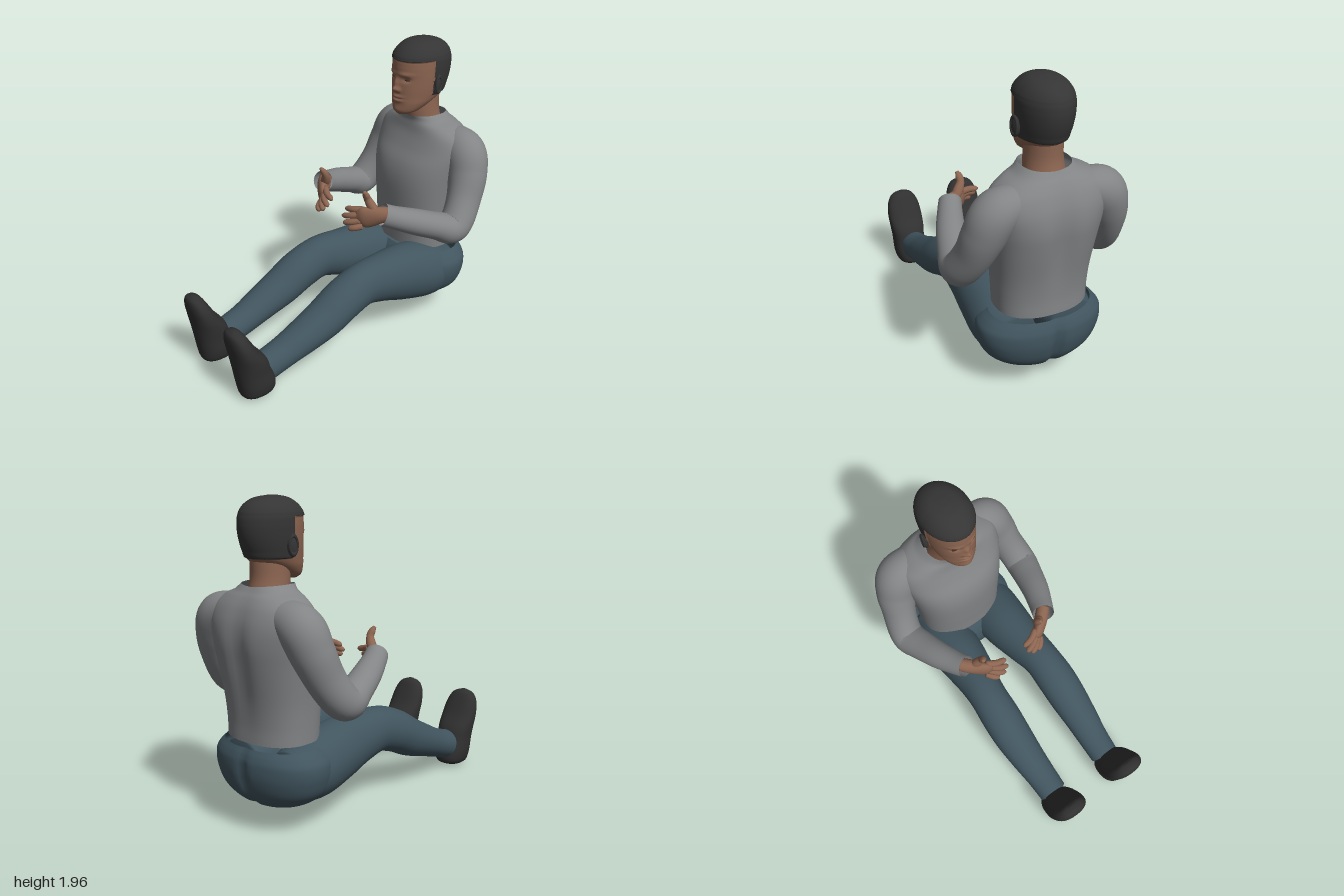
import * as THREE from 'three';

const paint = (name, color) => {
  const m = new THREE.MeshStandardMaterial({ color, side: THREE.DoubleSide });
  m.name = name;
  return m;
};
const bump = (v, centre, width) => Math.exp(-(((v - centre) / width) ** 2));

// Smooth skin through sections [x, y, z, sideRadius, otherRadius].
// axis fixes the direction of all rings, otherwise they follow the path.
function loft(sections, { axis, ref = [1, 0, 0], segs = 32, rows = 48, power = 1, capStart = true, capEnd = true, warp, pick } = {}) {
  const path = new THREE.CatmullRomCurve3(sections.map(s => new THREE.Vector3(s[0], s[1], s[2])), false, 'catmullrom');
  const radii = new THREE.CatmullRomCurve3(sections.map(s => new THREE.Vector3(s[3], s[4], 0)), false, 'catmullrom');
  const r = new THREE.Vector3(...ref), pos = [], groups = [[], []];
  const soft = v => Math.sign(v) * Math.abs(v) ** power;
  const put = p => { if (warp) warp(p); pos.push(p.x, p.y, p.z); };
  for (let i = 0; i <= rows; i++) {
    const t = i / rows, c = path.getPoint(t), k = radii.getPoint(t);
    const T = axis ? new THREE.Vector3(...axis) : path.getTangent(t);
    const S = r.clone().addScaledVector(T, -r.dot(T)).normalize();
    const U = T.clone().cross(S);
    for (let j = 0; j < segs; j++) {
      const a = (j / segs) * Math.PI * 2;
      put(c.clone().addScaledVector(S, soft(Math.cos(a)) * k.x).addScaledVector(U, soft(Math.sin(a)) * k.y));
    }
  }
  const at = (i, j) => i * segs + (j % segs);
  for (let i = 0; i < rows; i++) for (let j = 0; j < segs; j++) {
    const a = at(i, j), b = at(i, j + 1), c = at(i + 1, j), d = at(i + 1, j + 1);
    const mid = n => (pos[a * 3 + n] + pos[b * 3 + n] + pos[c * 3 + n] + pos[d * 3 + n]) / 4;
    groups[pick ? pick(mid(0), mid(1), mid(2)) : 0].push(a, b, d, a, d, c);
  }
  [[0, capStart], [rows, capEnd]].forEach(([row, on]) => {
    if (!on) return;
    const centre = pos.length / 3, p = path.getPoint(row / rows);
    put(p);
    const g = groups[pick ? pick(p.x, p.y, p.z) : 0];
    for (let j = 0; j < segs; j++) row ? g.push(at(row, j), at(row, j + 1), centre) : g.push(at(0, j + 1), at(0, j), centre);
  });
  const geo = new THREE.BufferGeometry();
  geo.setAttribute('position', new THREE.Float32BufferAttribute(pos, 3));
  geo.setIndex([...groups[0], ...groups[1]]);
  if (pick) {
    geo.addGroup(0, groups[0].length, 0);
    geo.addGroup(groups[0].length, groups[1].length, 1);
  }
  geo.computeVertexNormals();
  return geo;
}

// Upright skin from levels [y, halfWidth, frontZ, backZ]
const upright = (levels, options, x = 0) =>
  loft(levels.map(([y, w, f, b]) => [x, y, (f + b) / 2, w, (f - b) / 2]), { axis: [0, 1, 0], ...options });

export function createModel() {
  const model = new THREE.Group();
  model.name = 'seatedFigure';
  const shirt = paint('grey sweater', 0x828486);
  const denim = paint('blue trousers', 0x41555f);
  const skin = paint('skin', 0x8c6551);
  const shoeDark = paint('dark shoe', 0x303030);
  const hairDark = paint('dark hair', 0x353535);
  const eyeDark = paint('eye', 0x3a2a24);
  const add = (name, geo, mat, parent = model) => {
    const m = new THREE.Mesh(geo, mat);
    m.name = name;
    parent.add(m);
    return m;
  };

  // Sweater body, open at hem and collar, with a groove along the spine
  add('sweaterBody', upright([
    [0.55, 0.29, -0.495, -0.935], [0.66, 0.295, -0.49, -0.935], [0.8, 0.305, -0.482, -0.95],
    [1.0, 0.33, -0.478, -0.985], [1.13, 0.35, -0.5, -1.0], [1.24, 0.365, -0.55, -0.99],
    [1.33, 0.345, -0.585, -0.96], [1.39, 0.27, -0.597, -0.925], [1.425, 0.19, -0.6, -0.895], [1.45, 0.15, -0.592, -0.875],
  ], {
    segs: 64, power: 0.85, capStart: false, capEnd: false,
    warp: p => {
      if (p.z < -0.75) p.z += 0.03 * bump(p.x, 0, 0.07) * bump(p.y, 1.05, 0.28);
      if (p.y > 1.42) p.y += 0.08 * Math.abs(p.x) * (p.y - 1.42) / 0.03;
    },
  }), shirt);

  // Seat of the trousers with a centre crease
  add('trouserSeat', upright([
    [0.14, 0.1, -0.63, -0.8], [0.165, 0.24, -0.54, -0.88], [0.24, 0.35, -0.47, -0.945],
    [0.34, 0.395, -0.45, -0.977], [0.43, 0.4, -0.46, -0.98], [0.48, 0.37, -0.48, -0.967], [0.52, 0.325, -0.51, -0.945],
  ], {
    segs: 96, power: 0.92, capEnd: false,
    warp: p => { if (p.z < -0.75) p.z += 0.035 * bump(p.x, 0, 0.03) * bump(p.y, 0.3, 0.18); },
  }), denim);

  add('neck', upright([
    [1.36, 0.13, -0.62, -0.87], [1.43, 0.118, -0.605, -0.85], [1.5, 0.112, -0.595, -0.838], [1.6, 0.11, -0.59, -0.84],
  ]), skin);

  // Head with modelled face; hair covers the crown and back
  const isHair = (x, y, z) => (y > 1.84 || (z < -0.675 && y > 1.605) ? 1 : 0);
  add('headAndHair', upright([
    [1.475, 0.04, -0.515, -0.6], [1.5, 0.085, -0.497, -0.67], [1.55, 0.12, -0.492, -0.77],
    [1.6, 0.138, -0.492, -0.855], [1.65, 0.147, -0.491, -0.88], [1.7, 0.153, -0.492, -0.897],
    [1.75, 0.157, -0.492, -0.907], [1.8, 0.159, -0.492, -0.909], [1.85, 0.155, -0.5, -0.9],
    [1.9, 0.128, -0.54, -0.865], [1.935, 0.085, -0.6, -0.8], [1.95, 0.02, -0.67, -0.71],
  ], {
    segs: 128, rows: 110, pick: isHair,
    warp: p => {
      const { x, y, z } = p, ax = Math.abs(x);
      if (isHair(x, y, z)) {
        p.x *= 1.03;
        p.z += z > -0.7 ? 0.008 : -0.007;
        p.y += y > 1.85 ? 0.005 : 0;
      } else if (z > -0.62) {
        p.z += bump(x, 0, 0.02) * (0.028 * bump(y, 1.652, 0.018) + 0.018 * bump(y, 1.69, 0.03))
          + 0.01 * bump(ax, 0.024, 0.012) * bump(y, 1.645, 0.014)
          + bump(x, 0, 0.04) * (0.013 * bump(y, 1.601, 0.011) + 0.013 * bump(y, 1.575, 0.011) - 0.006 * bump(y, 1.588, 0.005))
          + 0.008 * bump(x, 0, 0.04) * bump(y, 1.51, 0.025)
          + 0.008 * bump(ax, 0.06, 0.045) * bump(y, 1.752, 0.014)
          - 0.014 * bump(ax, 0.062, 0.026) * bump(y, 1.718, 0.016);
      }
    },
  }), [skin, hairDark]);

  for (const s of [1, -1]) {
    const side = new THREE.Group();
    side.name = s > 0 ? 'leftSide' : 'rightSide';
    model.add(side);
    const flip = list => list.map(([x, ...rest]) => [x * s, ...rest]);
    const limb = (name, list, mat, options) => add(name, loft(flip(list), options), mat, side);

    // Ear: bowl with a raised rim
    const ear = add('ear', new THREE.SphereGeometry(1, 20, 14), hairDark, side);
    ear.scale.set(0.018, 0.062, 0.034);
    ear.position.set(s * 0.162, 1.675, -0.695);
    ear.rotation.set(-0.15, s * 0.25, 0);
    const rim = add('earRim', new THREE.TorusGeometry(0.036, 0.009, 8, 24), hairDark, side);
    rim.scale.set(0.75, 1.45, 1);
    rim.position.set(s * 0.173, 1.682, -0.697);
    rim.rotation.y = s * (Math.PI / 2 + 0.2);

    // Narrow eye
    const eye = add('eye', new THREE.SphereGeometry(1, 16, 10), eyeDark, side);
    eye.scale.set(0.021, 0.0055, 0.009);
    eye.position.set(s * 0.064, 1.716, -0.522);
    eye.rotation.y = s * 0.35;

    // Sleeve from shoulder through bent elbow to open cuff
    limb('sleeve', [
      [0.18, 1.3, -0.81, 0.1, 0.11], [0.33, 1.24, -0.81, 0.14, 0.135], [0.395, 1.11, -0.785, 0.13, 0.13],
      [0.435, 0.96, -0.725, 0.11, 0.12], [0.465, 0.84, -0.645, 0.108, 0.112], [0.467, 0.805, -0.575, 0.108, 0.105],
      [0.44, 0.845, -0.47, 0.1, 0.09], [0.398, 0.9, -0.33, 0.09, 0.085], [0.345, 0.95, -0.2, 0.078, 0.075],
      [0.312, 0.98, -0.13, 0.072, 0.072],
    ], shirt, { rows: 80, segs: 40, capEnd: false });

    // Hand: palm, thumb and four fingers
    limb('palm', [
      [0.34, 0.985, -0.17, 0.045, 0.042], [0.295, 0.972, -0.125, 0.055, 0.044], [0.25, 0.955, -0.085, 0.068, 0.04],
      [0.215, 0.943, -0.055, 0.07, 0.033], [0.185, 0.932, -0.035, 0.05, 0.02],
    ], skin, { ref: [0, 1, 0], rows: 24 });
    limb('thumb', [
      [0.275, 0.975, -0.11, 0.03, 0.03], [0.24, 1.025, -0.095, 0.032, 0.03], [0.218, 1.07, -0.08, 0.025, 0.024],
      [0.22, 1.105, -0.063, 0.023, 0.02], [0.227, 1.13, -0.045, 0.01, 0.01],
    ], skin, { segs: 16, rows: 20 });
    [
      [[0.2, 0.99, -0.065], [0.073, 0.965, -0.022]],
      [[0.195, 0.957, -0.048], [0.078, 0.925, 0.01]],
      [[0.2, 0.92, -0.04], [0.107, 0.89, 0.025]],
      [[0.22, 0.888, -0.04], [0.157, 0.865, 0.022]],
    ].forEach(([a, b]) => {
      const along = (t, r, lift = 0) => [...a.map((v, i) => v + (b[i] - v) * t + (i === 2 ? lift : 0)), r, r];
      limb('finger', [along(0, 0.022), along(0.45, 0.021, 0.012), along(0.85, 0.018, 0.004), along(1, 0.008)],
        skin, { ref: [0, 1, 0], segs: 14, rows: 16 });
    });

    // Trouser leg from hip over the raised knee to the ankle
    limb('trouserLeg', [
      [0.2, 0.345, -0.8, 0.15, 0.15], [0.203, 0.365, -0.62, 0.188, 0.2], [0.205, 0.41, -0.4, 0.175, 0.198],
      [0.215, 0.445, -0.2, 0.148, 0.168], [0.232, 0.462, -0.03, 0.13, 0.148], [0.24, 0.415, 0.13, 0.135, 0.14],
      [0.243, 0.338, 0.28, 0.132, 0.13], [0.24, 0.268, 0.45, 0.118, 0.113], [0.233, 0.21, 0.6, 0.105, 0.1],
      [0.23, 0.165, 0.74, 0.098, 0.1],
    ], denim, { rows: 80, segs: 40, capEnd: false });

    // Shoe standing on its heel, sole facing forward
    add('shoe', upright([
      [0.0, 0.03, 0.9, 0.82], [0.03, 0.09, 0.93, 0.715], [0.1, 0.112, 0.945, 0.702], [0.2, 0.115, 0.96, 0.735],
      [0.28, 0.122, 0.972, 0.765], [0.36, 0.125, 0.985, 0.825], [0.44, 0.113, 0.997, 0.872],
      [0.5, 0.078, 0.995, 0.908], [0.525, 0.02, 0.97, 0.935],
    ], { segs: 40, power: 0.85 }, s * 0.24), shoeDark, side);
  }
  return model;
}
